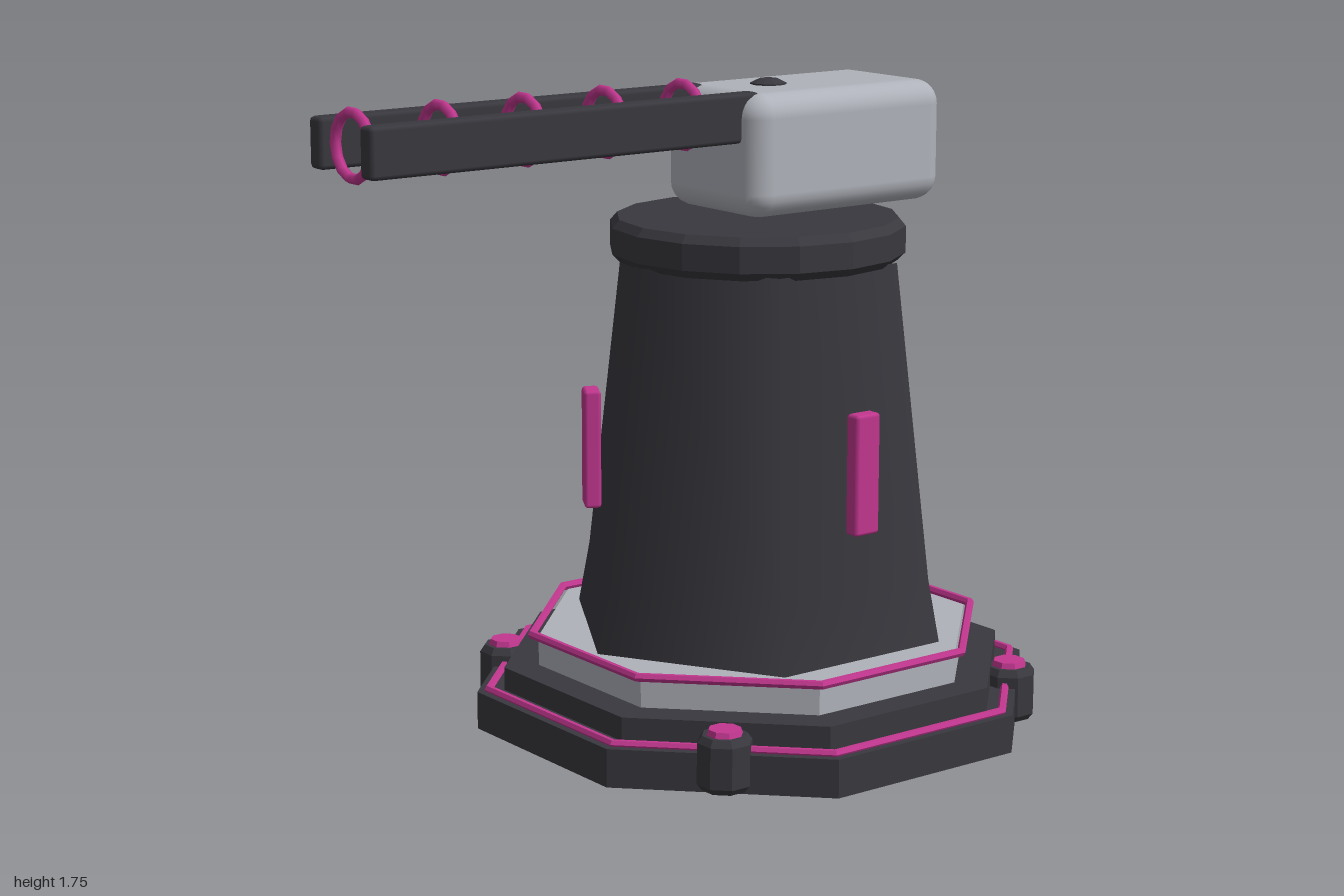
import * as THREE from 'three';
import { RoundedBoxGeometry } from 'three/addons/geometries/RoundedBoxGeometry.js';

const mat = (name, color) => {
  const m = new THREE.MeshStandardMaterial({ color });
  m.name = name;
  return m;
};

export function createModel() {
  const dark = mat('charcoal', 0x38383e);
  const grey = mat('light grey', 0xafb2ba);
  const pink = mat('magenta', 0xc2378f);
  const flat = (m) => { const c = m.clone(); c.flatShading = true; return c; };
  const darkFlat = flat(dark), greyFlat = flat(grey), pinkFlat = flat(pink);

  const model = new THREE.Group();
  model.name = 'turret';
  const tower = new THREE.Group();
  tower.name = 'tower';
  tower.position.z = -0.285;
  model.add(tower);

  const add = (parent, name, geo, material, x = 0, y = 0, z = 0) => {
    const mesh = new THREE.Mesh(geo, material);
    mesh.name = name;
    mesh.position.set(x, y, z);
    parent.add(mesh);
    return mesh;
  };
  const corner = Math.cos(Math.PI / 8);
  // Octagonal slab measured across its flats
  const slab = (name, apothem, y0, y1, material) => add(tower, name,
    new THREE.CylinderGeometry(apothem / corner, apothem / corner, y1 - y0, 8).rotateY(Math.PI / 8),
    material, 0, (y0 + y1) / 2);
  // Octagonal trim bead
  const trim = (name, apothem, y, tube) => add(tower, name,
    new THREE.TorusGeometry(apothem / corner, tube, 6, 8).rotateX(Math.PI / 2).rotateY(Math.PI / 8),
    pinkFlat, 0, y);
  const lathe = (pts, sides) =>
    new THREE.LatheGeometry(pts.map(([r, y]) => new THREE.Vector2(r, y)), sides);

  // Stepped base
  slab('undersidePlate', 0.64, 0, 0.02, greyFlat);
  slab('baseStep', 0.717, 0.002, 0.105, darkFlat);
  slab('middleStep', 0.648, 0.1, 0.168, darkFlat);
  slab('upperStep', 0.56, 0.16, 0.25, greyFlat);
  trim('lowerTrim', 0.688, 0.11, 0.012);
  trim('upperTrim', 0.577, 0.255, 0.012);

  // Corner bolts with bright caps
  for (const x of [-0.495, 0.495]) for (const z of [-0.49, 0.49]) {
    const bolt = new THREE.Group();
    bolt.name = 'cornerBolt';
    bolt.position.set(x, 0, z);
    tower.add(bolt);
    add(bolt, 'boltBody', lathe([[0, 0.008], [0.06, 0.008], [0.073, 0.025], [0.073, 0.135],
      [0.06, 0.153], [0, 0.153]], 8).rotateY(Math.PI / 8), darkFlat);
    add(bolt, 'boltCap', new THREE.CylinderGeometry(0.043, 0.05, 0.02, 8).rotateY(Math.PI / 8),
      pinkFlat, 0, 0.158);
  }

  // Hexagonal tapering shaft with softened shading, and its collar
  add(tower, 'shaft', lathe([[0.53, 0.25], [0.497, 0.42], [0.395, 1.27]], 6), dark);
  add(tower, 'collar', lathe([[0, 1.26], [0.375, 1.26], [0.397, 1.282], [0.397, 1.352],
    [0.378, 1.374], [0, 1.374]], 16), darkFlat);

  // Light bars around the shaft
  for (let i = 0; i < 3; i++) {
    const a = i * Math.PI * 2 / 3;
    const bar = add(tower, 'lightBar', new RoundedBoxGeometry(0.046, 0.324, 0.08, 1, 0.01), pink,
      Math.cos(a) * 0.447, 0.75, Math.sin(a) * 0.447);
    bar.rotation.y = -a;
  }

  // Rotating head with a pivot on top
  add(model, 'head', new RoundedBoxGeometry(0.4, 0.326, 0.66, 3, 0.065), grey, 0, 1.557, -0.445);
  add(model, 'pivot', lathe([[0.048, 1.7], [0.048, 1.724], [0.025, 1.735], [0, 1.735]], 10),
    darkFlat, 0, 0, -0.32);

  // Twin rails joined by hoops
  for (const x of [-0.117, 0.117]) {
    add(model, 'rail', new RoundedBoxGeometry(0.055, 0.13, 1.18, 1, 0.012), dark, x, 1.657, 0.41);
  }
  for (let i = 0; i < 5; i++) {
    add(model, 'coilHoop', new THREE.TorusGeometry(0.082, 0.014, 6, 14), pink,
      0, 1.66, 0.962 - i * 0.249);
  }
  return model;
}
